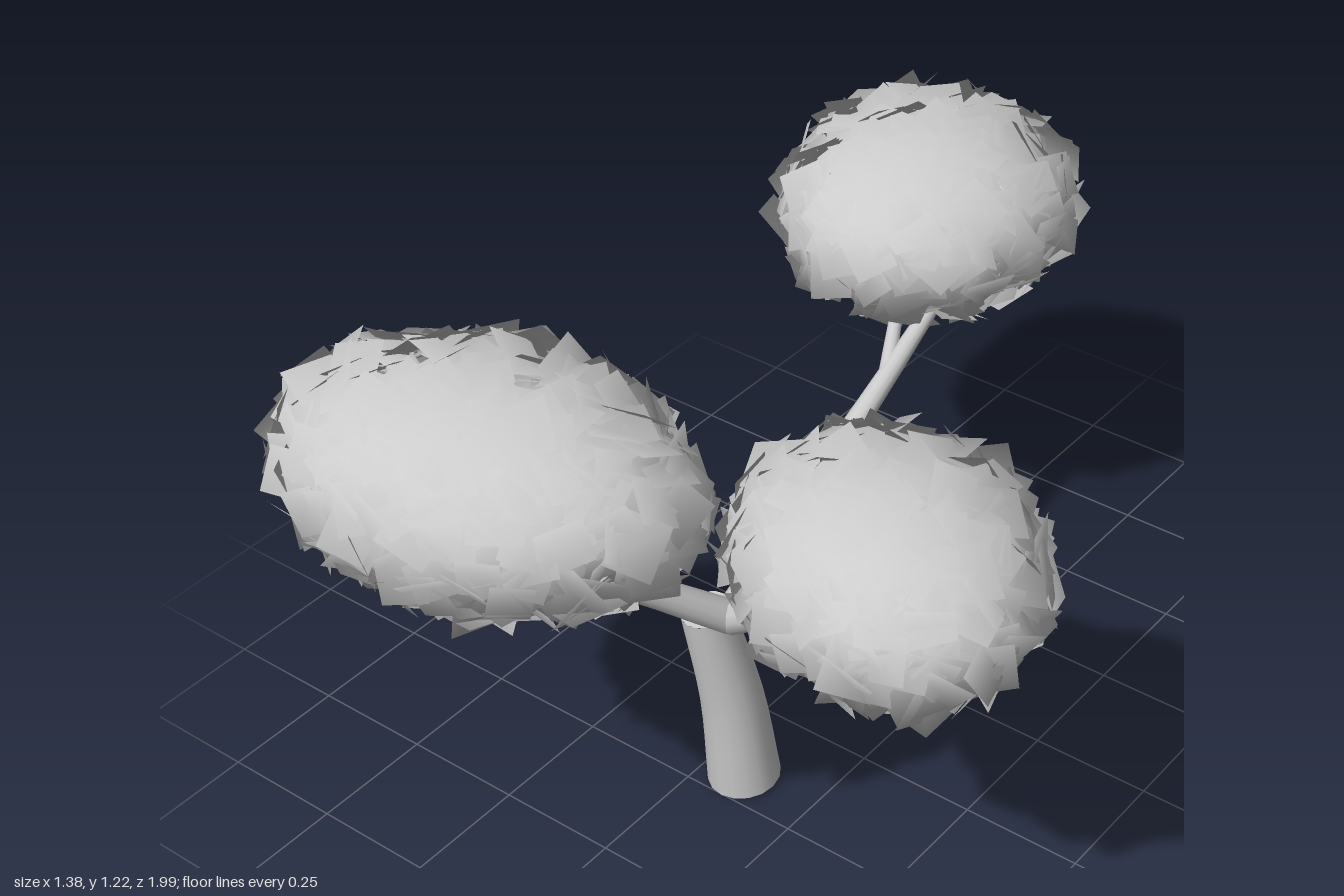
import * as THREE from 'three';

const V = (p) => new THREE.Vector3(...p);
const wood = new THREE.MeshStandardMaterial({ color: 0xcccccc });
const foliage = new THREE.MeshStandardMaterial({ color: 0xcccccc, side: THREE.DoubleSide });

function seeded(seed) {
  return () => {
    seed = (seed * 1664525 + 1013904223) % 4294967296;
    return seed / 4294967296;
  };
}

// Tapered limb along a curve, capped at both ends
function limb(name, points, r0, r1, sides = 12) {
  const group = new THREE.Group();
  group.name = name;
  const curve = new THREE.CatmullRomCurve3(points.map(V));
  const segs = 8;
  const geo = new THREE.TubeGeometry(curve, segs, 1, sides);
  const pos = geo.attributes.position, nor = geo.attributes.normal;
  const n = new THREE.Vector3();
  for (let k = 0; k < pos.count; k++) {
    const t = Math.floor(k / (sides + 1)) / segs;
    n.fromBufferAttribute(nor, k).multiplyScalar(r0 + (r1 - r0) * t).add(curve.getPointAt(t));
    pos.setXYZ(k, n.x, n.y, n.z);
  }
  const side = new THREE.Mesh(geo, wood);
  side.name = name + 'Bark';
  group.add(side);
  for (const [t, r, dir] of [[0, r0, -1], [1, r1, 1]]) {
    const cap = new THREE.Mesh(new THREE.CircleGeometry(r, sides), wood);
    const p = curve.getPointAt(t);
    cap.position.copy(p);
    cap.lookAt(p.clone().addScaledVector(curve.getTangentAt(t), dir));
    cap.name = name + 'Cap';
    group.add(cap);
  }
  return group;
}

// Ellipsoidal shell of overlapping square leaf cards with rounded shading
function leafCluster(name, center, radii, yaw, count, seed) {
  const rand = seeded(seed), spread = (a) => (rand() * 2 - 1) * a;
  const pos = [], nor = [], idx = [];
  const R = V(radii), card = new THREE.Object3D();
  for (let i = 0; i < count; i++) {
    // even spiral over the ellipsoid
    const y = 1 - (2 * (i + 0.5)) / count;
    const a = i * 2.39996 + spread(0.15), ring = Math.sqrt(1 - y * y);
    const unit = new THREE.Vector3(Math.cos(a) * ring, y, Math.sin(a) * ring);
    const normal = unit.clone().divide(R).normalize();
    card.position.copy(unit).multiply(R).multiplyScalar(0.97 + spread(0.07));
    card.lookAt(card.position.clone().add(normal));
    card.rotateZ(rand() * Math.PI * 2);
    card.rotateX(spread(0.6));
    card.rotateY(spread(0.6));
    card.updateMatrix();
    const w = 0.036 + rand() * 0.014, h = 0.036 + rand() * 0.014;
    for (const [sx, sy] of [[-1, -1], [1, -1], [1, 1], [-1, 1]]) {
      const p = new THREE.Vector3(sx * w, sy * h, 0).applyMatrix4(card.matrix);
      pos.push(p.x, p.y, p.z);
      const n = p.divide(R).divide(R).normalize();
      nor.push(n.x, n.y, n.z);
    }
    const b = i * 4;
    idx.push(b, b + 1, b + 2, b, b + 2, b + 3);
  }
  const geo = new THREE.BufferGeometry();
  geo.setAttribute('position', new THREE.Float32BufferAttribute(pos, 3));
  geo.setAttribute('normal', new THREE.Float32BufferAttribute(nor, 3));
  geo.setIndex(idx);
  const mesh = new THREE.Mesh(geo, foliage);
  mesh.name = name;
  mesh.position.set(...center);
  mesh.rotation.y = yaw;
  return mesh;
}

export function createModel() {
  const tree = new THREE.Group();
  tree.name = 'tree';

  // Trunk, leaning slightly
  tree.add(limb('trunk', [[-0.163, 0.008, 0.18], [-0.172, 0.22, 0.198], [-0.194, 0.447, 0.237]], 0.073, 0.05, 16));

  // Main limbs from the fork, each with a smaller shoot
  const fork = [-0.145, 0.445, 0.225];
  const limbs = [
    ['leftBranch', [fork, [0.02, 0.56, 0.255], [0.14, 0.64, 0.285], [0.33, 0.77, 0.37]], 0.034, 0.015],
    ['leftShoot', [[0.13, 0.635, 0.283], [0.17, 0.69, 0.32], [0.225, 0.8, 0.36]], 0.019, 0.012],
    ['frontBranch', [fork, [-0.24, 0.59, 0.4], [-0.32, 0.7, 0.56], [-0.39, 0.84, 0.7]], 0.034, 0.017],
    ['frontShoot', [[-0.28, 0.645, 0.48], [-0.255, 0.7, 0.52], [-0.215, 0.82, 0.6]], 0.018, 0.012],
    ['backBranch', [fork, [-0.16, 0.58, -0.06], [-0.168, 0.69, -0.3], [-0.19, 0.77, -0.52]], 0.034, 0.015],
    ['backShoot', [[-0.168, 0.69, -0.3], [-0.215, 0.735, -0.39], [-0.27, 0.79, -0.5]], 0.017, 0.01],
  ];
  for (const [name, points, r0, r1] of limbs) tree.add(limb(name, points, r0, r1));

  // Leaf crowns
  tree.add(leafCluster('frontCrown', [-0.275, 1.0, 0.69], [0.38, 0.19, 0.265], 0.12, 560, 11));
  tree.add(leafCluster('leftCrown', [0.36, 0.94, 0.43], [0.3, 0.175, 0.24], -0.5, 440, 23));
  tree.add(leafCluster('backCrown', [-0.32, 0.87, -0.645], [0.285, 0.18, 0.315], 0.25, 460, 37));
  return tree;
}
